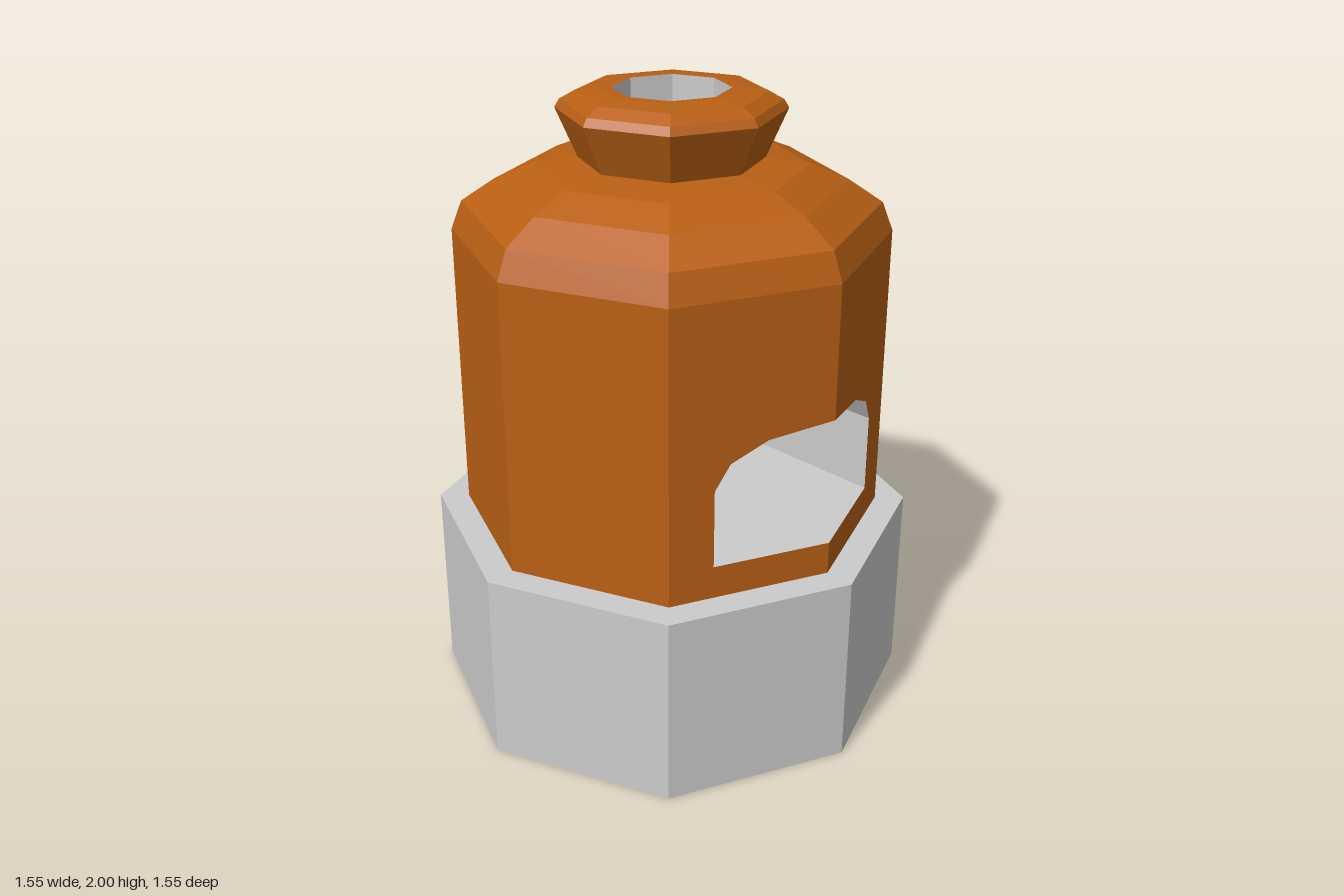
import * as THREE from 'three';
import { mergeGeometries } from 'three/addons/utils/BufferGeometryUtils.js';

const SIDES = 8;
const R = 0.68;          // body radius, with one corner facing forward
const FLOOR = 0.73;      // chamber floor
const BACK = -0.4;       // chamber back wall
const FLUE = 0.18;       // chimney bore radius
const corner = R * Math.SQRT1_2;

const grey = new THREE.MeshStandardMaterial({ color: 0xcccccc, flatShading: true, side: THREE.DoubleSide });
const clay = new THREE.MeshStandardMaterial({ color: 0xb85f14, flatShading: true, side: THREE.DoubleSide });

// Half outline of the arched opening, from floor centre to crown
const arch = [[0, FLOOR], [0.35, FLOOR], [0.35, 0.98], [0.305, 1.06], [0.195, 1.115], [0, 1.14]];

// Depth of the two front facets, and height of the chamber crown
const facetZ = (x) => R - Math.tan(Math.PI / 8) * Math.abs(x);
const crownY = (x) => 1.14 - (0.025 / 0.195) * Math.abs(x);

const shapeOf = (points) => new THREE.Shape(points.map(([x, y]) => new THREE.Vector2(x, y)));

// Flat outline with its vertices moved by a rule
function sheet(points, rule) {
  const geometry = new THREE.ShapeGeometry(shapeOf(points));
  const p = geometry.attributes.position;
  for (let i = 0; i < p.count; i++) p.setXYZ(i, ...rule(p.getX(i), p.getY(i)));
  geometry.computeVertexNormals();
  return geometry;
}

// One lengthwise strip of the chamber lining
function strip([x1, y1], [x2, y2], side) {
  const geometry = new THREE.BufferGeometry();
  geometry.setAttribute('position', new THREE.Float32BufferAttribute([
    side * x1, y1, facetZ(x1), side * x2, y2, facetZ(x2),
    side * x2, y2, BACK, side * x1, y1, BACK,
  ], 3));
  geometry.setAttribute('uv', new THREE.Float32BufferAttribute([0, 0, 1, 0, 1, 1, 0, 1], 2));
  geometry.setIndex(side > 0 ? [0, 1, 2, 0, 2, 3] : [0, 2, 1, 0, 3, 2]);
  geometry.computeVertexNormals();
  return geometry;
}

const lathe = (points) =>
  new THREE.LatheGeometry(points.map(([r, y]) => new THREE.Vector2(r, y)), SIDES);

export function createModel() {
  const model = new THREE.Group();
  model.name = 'kiln';
  const add = (name, geometry, material) => {
    const mesh = new THREE.Mesh(geometry, material);
    mesh.name = name;
    model.add(mesh);
  };

  // Stone base
  const base = new THREE.CylinderGeometry(0.775, 0.775, 0.625, SIDES);
  base.translate(0, 0.3125, 0);
  add('base', base, grey);

  // Six plain sides of the body
  const wall = new THREE.CylinderGeometry(R, R, 0.935, 6, 1, true, Math.PI / 4, Math.PI * 1.5);
  wall.translate(0, 1.0925, 0);
  add('bodyWall', wall, clay);

  // Two front facets, each cut by half of the arch
  const facets = [1, -1].map((s) => sheet(
    [[0, 0.625], [corner, 0.625], [corner, 1.56], [0, 1.56], ...arch.slice().reverse()]
      .map(([x, y]) => [s * x, y]),
    (x, y) => [x, y, facetZ(x)]));
  add('frontWall', mergeGeometries(facets), clay);

  // Rounded shoulder and flared chimney collar
  add('shoulder', lathe([[R, 1.56], [0.645, 1.65], [0.54, 1.72], [0.42, 1.77], [0.285, 1.79]]), clay);
  add('chimney', lathe([[0.285, 1.79], [0.35, 1.94], [0.335, 1.965], [0.29, 1.99], [0.22, 2], [FLUE, 2]]), clay);

  // Chimney bore, its lower rim fitted to the chamber crown
  const bore = new THREE.CylinderGeometry(FLUE, FLUE, 1, SIDES, 1, true);
  const p = bore.attributes.position;
  for (let i = 0; i < p.count; i++) p.setY(i, p.getY(i) > 0 ? 2 : crownY(p.getX(i)));
  bore.scale(1, 1, 1);
  bore.setIndex(Array.from(bore.index.array).reverse());
  bore.computeVertexNormals();
  add('chimneyBore', bore, grey);

  // Chamber lining: floor, jambs and arch, then the crown pierced by the bore
  const lining = [];
  for (const s of [1, -1]) {
    for (let i = 0; i < 4; i++) lining.push(strip(arch[i], arch[i + 1], s));
    const rim = [0, 1, 2, 3, 4].map((k) =>
      [FLUE * Math.sin(k * Math.PI / 4), FLUE * Math.cos(k * Math.PI / 4)]);
    const outline = [[0, R], ...rim, [0, BACK], [0.195, BACK], [0.195, facetZ(0.195)]];
    lining.push(sheet(outline.map(([x, z]) => [s * x, z]), (x, z) => [x, crownY(x), z]));
  }
  add('chamberLining', mergeGeometries(lining), grey);

  // Chamber back wall
  const mirrored = arch.slice(1, -1).reverse().map(([x, y]) => [-x, y]);
  add('chamberBack', sheet([...arch.slice(1), ...mirrored], (x, y) => [x, y, BACK]), grey);

  return model;
}
